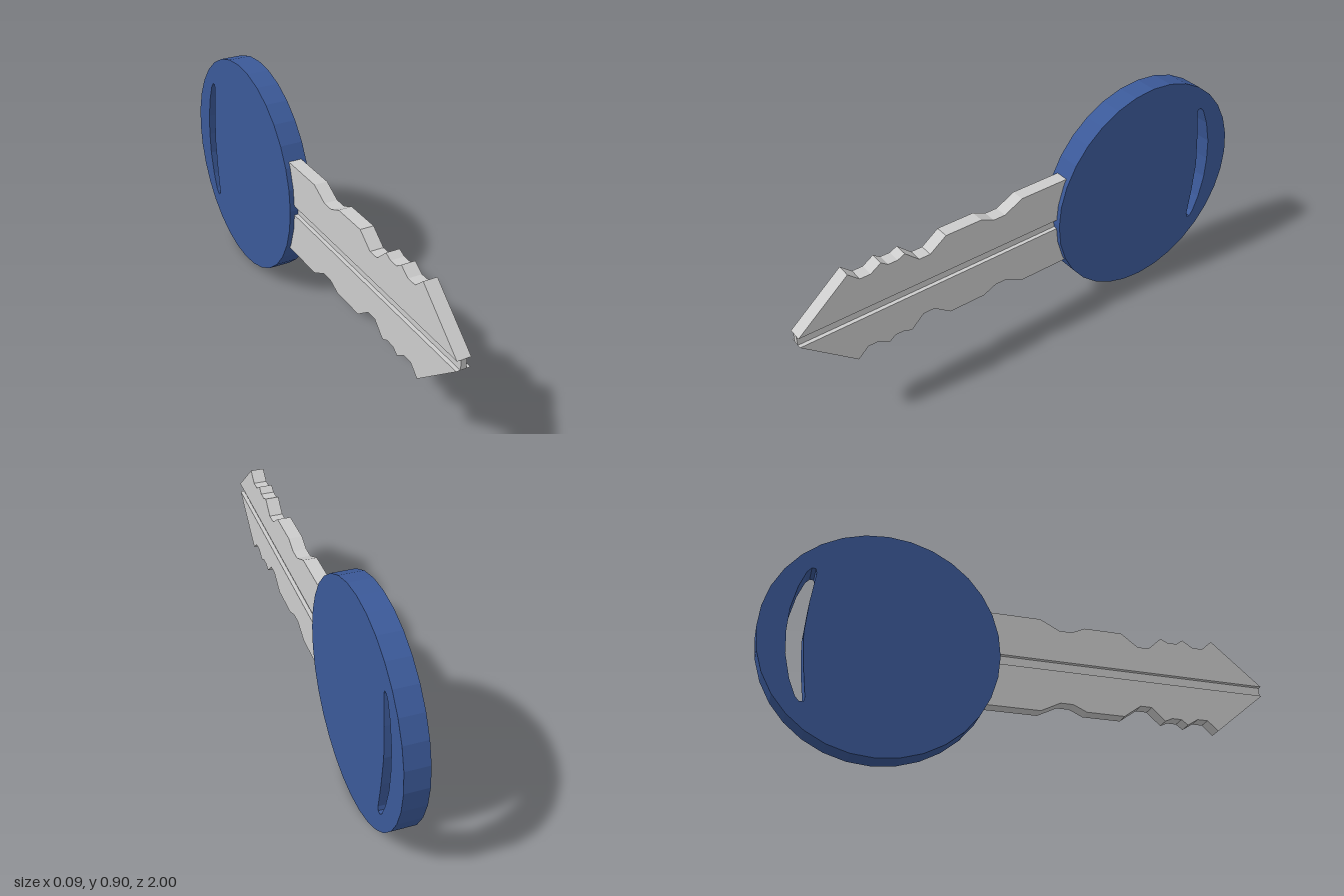
import * as THREE from 'three';

const MID = 0.45; // height of the key's centre line

// Extrudes a side-on shape, drawn in (-z, y), to a plate centred on x = 0
function plate(name, shape, thickness, material) {
  const geo = new THREE.ExtrudeGeometry(shape, { depth: thickness, bevelEnabled: false });
  geo.translate(0, 0, -thickness / 2);
  geo.rotateY(Math.PI / 2);
  const mesh = new THREE.Mesh(geo, material);
  mesh.name = name;
  return mesh;
}

// Points are [z, height above or below the centre line]
const toPoints = (pts, sign = 1) => pts.map(([z, h]) => new THREE.Vector2(-z, MID + sign * h));

export function createModel() {
  const key = new THREE.Group();
  key.name = 'key';
  const metal = new THREE.MeshStandardMaterial({ color: 0xcccccc, flatShading: true });
  const blue = new THREE.MeshStandardMaterial({ color: 0x3b5998, flatShading: true });

  // Round head: 32-sided disc with a crescent slot
  const rim = [];
  for (let i = 0; i < 32; i++) {
    const a = (i / 32) * Math.PI * 2;
    rim.push([-0.55 + 0.45 * Math.cos(a), 0.45 * Math.sin(a)]);
  }
  const headShape = new THREE.Shape(toPoints(rim));
  const half = [
    [-0.895, 0], [-0.89, 0.09], [-0.868, 0.185], [-0.842, 0.25], [-0.826, 0.268],
    [-0.811, 0.267], [-0.807, 0.25], [-0.823, 0.13], [-0.833, 0],
  ];
  const lower = half.slice(1, -1).reverse().map(([z, h]) => [z, -h]);
  headShape.holes.push(new THREE.Path(toPoints([...half, ...lower])));
  key.add(plate('head', headShape, 0.092, blue));

  // Toothed blade halves, mirrored about the centre groove
  const teeth = [
    [-0.18, 0.02], [1, 0.02], [0.793, 0.195], [0.75, 0.156], [0.708, 0.156], [0.665, 0.184],
    [0.638, 0.164], [0.6, 0.164], [0.57, 0.178], [0.515, 0.127], [0.469, 0.127], [0.4, 0.178],
    [0.247, 0.178], [0.193, 0.153], [0.142, 0.153], [0.064, 0.193], [-0.18, 0.193],
  ];
  key.add(plate('upperBlade', new THREE.Shape(toPoints(teeth)), 0.054, metal));
  key.add(plate('lowerBlade', new THREE.Shape(toPoints(teeth, -1)), 0.054, metal));

  // Thin web at the bottom of the groove
  const web = new THREE.Mesh(new THREE.BoxGeometry(0.022, 0.04, 1.18), metal);
  web.name = 'grooveWeb';
  web.position.set(0, MID, 0.41);
  key.add(web);

  return key;
}
